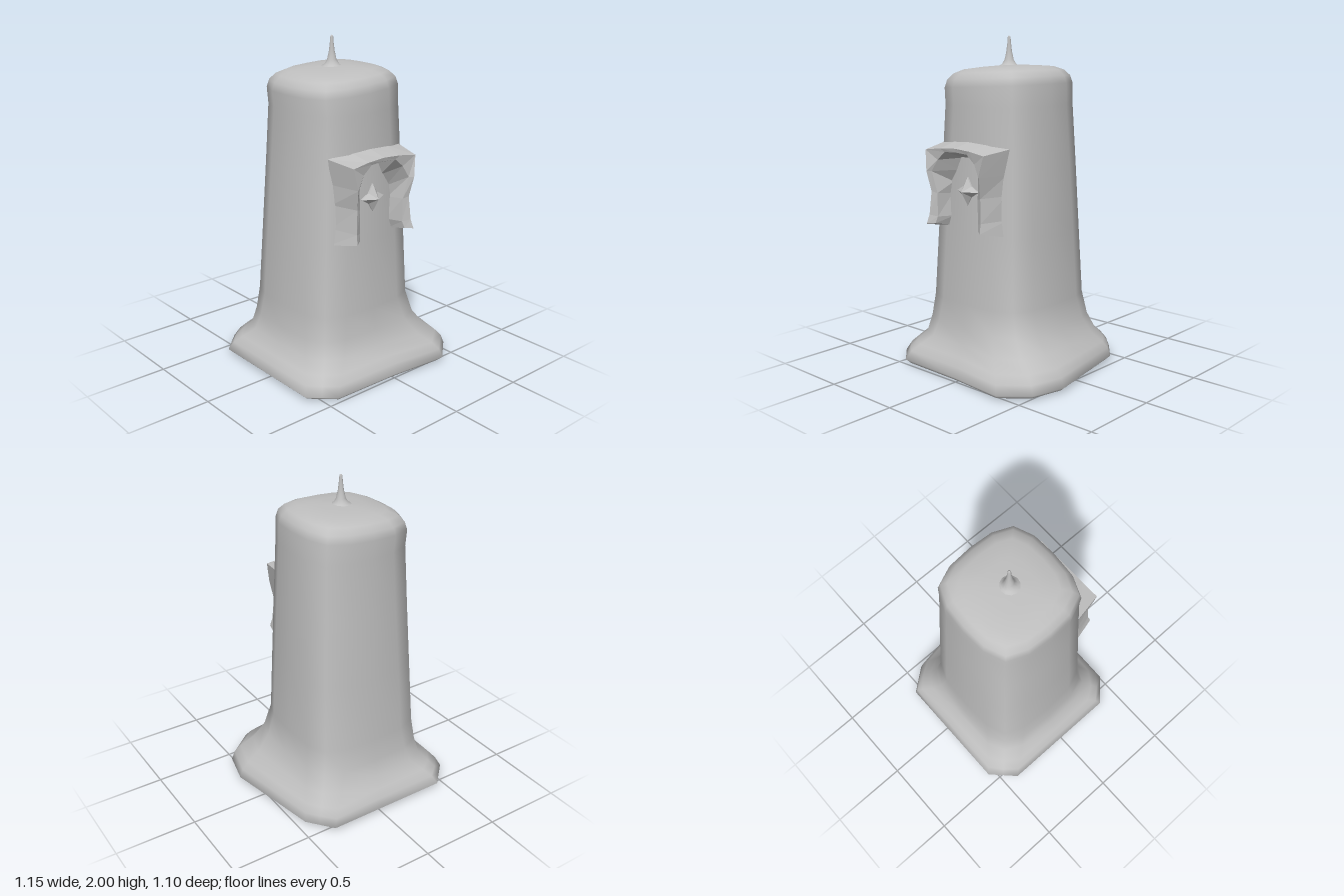
import * as THREE from 'three';

const CX = -0.05, CZ = -0.02; // axis of the wick

// Foot outline (x, z), starting mid +x side and turning towards the front
const FOOT = [
  [0.52, -0.08], [0.575, 0.2], [0.525, 0.41], [0.37, 0.545],
  [0, 0.51], [-0.44, 0.5], [-0.51, 0.435], [-0.58, 0.37],
  [-0.58, 0], [-0.58, -0.41], [-0.51, -0.48], [-0.44, -0.55],
  [0, -0.55], [0.34, -0.55], [0.4, -0.475], [0.46, -0.4],
];

// Rounded-square outline with the same 16 points
function roundedSquare(x0, x1, z0, z1) {
  const c = 0.18, k = 0.06, e = 0.01, mx = (x0 + x1) / 2, mz = (z0 + z1) / 2;
  return [
    [x1, mz], [x1 - e, z1 - c], [x1 - k, z1 - k], [x1 - c, z1 - e],
    [mx, z1], [x0 + c, z1 - e], [x0 + k, z1 - k], [x0 + e, z1 - c],
    [x0, mz], [x0 + e, z0 + c], [x0 + k, z0 + k], [x0 + c, z0 + e],
    [mx, z0], [x1 - c, z0 + e], [x1 - k, z0 + k], [x1 - e, z0 + c],
  ];
}

function makeGeometry(points, index, flat) {
  let g = new THREE.BufferGeometry();
  g.setAttribute('position', new THREE.Float32BufferAttribute(points.flat(), 3));
  g.setIndex(index);
  if (flat) g = g.toNonIndexed();
  g.computeVertexNormals();
  return g;
}

function bodyGeometry() {
  const rings = [];
  const shrink = (pts, s) => pts.map(([x, z]) => [CX + (x - CX) * s, CZ + (z - CZ) * s]);
  const add = (pts, y, tilt = 0) => rings.push(pts.map(([x, z]) => [x, y + tilt * (x - CX), z]));

  // Flared foot: blend from the foot outline into the column, wider on the +x side
  const column = roundedSquare(-0.44, 0.34, -0.405, 0.365);
  add(shrink(FOOT, 0.95), 0.004);
  for (const [y, left, right] of [[0.03, 1, 1], [0.085, 0.84, 0.92], [0.13, 0.6, 0.76],
    [0.19, 0.25, 0.45], [0.29, 0.08, 0.15]]) {
    add(column.map(([x, z], i) => {
      const w = x > 0.1 ? right : left;
      return [x + (FOOT[i][0] - x) * w, z + (FOOT[i][1] - z) * w];
    }), y);
  }
  // Tapering column
  for (const [y, x0, x1, z0, z1] of [[0.43, -0.433, 0.335, -0.4, 0.36],
    [0.85, -0.41, 0.318, -0.38, 0.345], [1.25, -0.388, 0.302, -0.362, 0.328],
    [1.6, -0.372, 0.287, -0.345, 0.314]]) add(roundedSquare(x0, x1, z0, z1), y);
  // Rounded, slightly tilted top
  const top = roundedSquare(-0.38, 0.283, -0.347, 0.312);
  for (const [y, s] of [[1.71, 1], [1.755, 0.96], [1.79, 0.86], [1.812, 0.7], [1.823, 0.4], [1.828, 0.12]])
    add(shrink(top, s), y, 0.05);

  const n = 16, index = [];
  for (let r = 0; r < rings.length - 1; r++) {
    for (let j = 0; j < n; j++) {
      const a = r * n + j, b = r * n + (j + 1) % n;
      index.push(a, a + n, b + n, a, b + n, b);
    }
  }
  const points = rings.flat(), last = points.length - n;
  points.push([CX, 1.83, CZ]);
  for (let j = 0; j < n; j++) index.push(last + n, last + (j + 1) % n, last + j);
  return makeGeometry(points, index, false);
}

// Flat underside
function undersideGeometry() {
  const points = FOOT.map(([x, z]) => [CX + (x - CX) * 0.95, 0.004, CZ + (z - CZ) * 0.95]);
  points.push([0, 0, 0]);
  const index = [];
  for (let j = 0; j < 16; j++) index.push(16, j, (j + 1) % 16);
  return makeGeometry(points, index, true);
}

// Draped arch: each station runs outer back, outer ridge, inner ridge, inner back
function archGeometry() {
  const half = [
    [[0.265, 0.862, 0.27], [0.22, 0.905, 0.46], [0.175, 0.91, 0.43], [0.155, 0.885, 0.31]],
    [[0.25, 0.96, 0.27], [0.21, 0.96, 0.445], [0.165, 0.95, 0.42], [0.135, 0.945, 0.31]],
    [[0.245, 1.1, 0.27], [0.2, 1.1, 0.435], [0.165, 1.09, 0.42], [0.15, 1.08, 0.31]],
    [[0.25, 1.22, 0.27], [0.215, 1.22, 0.46], [0.19, 1.22, 0.44], [0.138, 1.15, 0.31]],
    [[0.272, 1.37, 0.27], [0.235, 1.345, 0.445], [0.15, 1.29, 0.43], [0.09, 1.225, 0.31]],
    [[0.13, 1.393, 0.29], [0.12, 1.36, 0.437], [0.09, 1.34, 0.43], [0.055, 1.3, 0.31]],
  ];
  const middle = [[0, 1.4, 0.3], [0, 1.367, 0.435], [0, 1.345, 0.43], [0, 1.3, 0.31]];
  const side = (s) => half.map(st => st.map(([x, y, z]) => [s * x, y, z]));
  const stations = [...side(-1), middle, ...side(1).reverse()];
  const points = stations.flat().map(([x, y, z]) => [x + CX, y, z]);
  const index = [];
  for (let i = 0; i < stations.length - 1; i++) {
    for (let j = 0; j < 3; j++) {
      const a = i * 4 + j;
      index.push(a, a + 1, a + 5, a, a + 5, a + 4);
    }
  }
  const e = points.length - 4;
  index.push(0, 3, 2, 0, 2, 1, e, e + 1, e + 2, e, e + 2, e + 3);
  return makeGeometry(points, index, true);
}

// Raised four-pointed star
function starGeometry() {
  const points = [], index = [];
  for (let i = 0; i < 8; i++) {
    const r = i % 2 ? 0.043 : 0.083, a = i * Math.PI / 4;
    points.push([r * Math.cos(a), r * Math.sin(a), 0], [r * Math.cos(a), r * Math.sin(a), -0.04]);
    const p = i * 2, q = ((i + 1) % 8) * 2;
    index.push(16, p, q, p, p + 1, q + 1, p, q + 1, q);
  }
  points.push([0, 0, 0.05]);
  return makeGeometry(points, index, true);
}

export function createModel() {
  const group = new THREE.Group();
  const grey = new THREE.MeshStandardMaterial({ color: 0xc0c0c0 });
  grey.name = 'plain grey';

  const add = (name, geometry, x = 0, y = 0, z = 0) => {
    const mesh = new THREE.Mesh(geometry, grey);
    mesh.name = name;
    mesh.position.set(x, y, z);
    group.add(mesh);
  };

  add('candleBody', bodyGeometry());
  add('underside', undersideGeometry());
  add('drapedArch', archGeometry());
  add('star', starGeometry(), -0.046, 1.11, 0.34);

  // Wick with a flared root
  const profile = [[0.075, 1.818], [0.045, 1.833], [0.028, 1.86], [0.017, 1.91],
    [0.011, 1.96], [0.009, 1.99], [0.005, 1.998], [0, 2]].map(([r, y]) => new THREE.Vector2(r, y));
  add('wick', new THREE.LatheGeometry(profile, 12), CX + 0.003, 0, CZ);

  return group;
}
